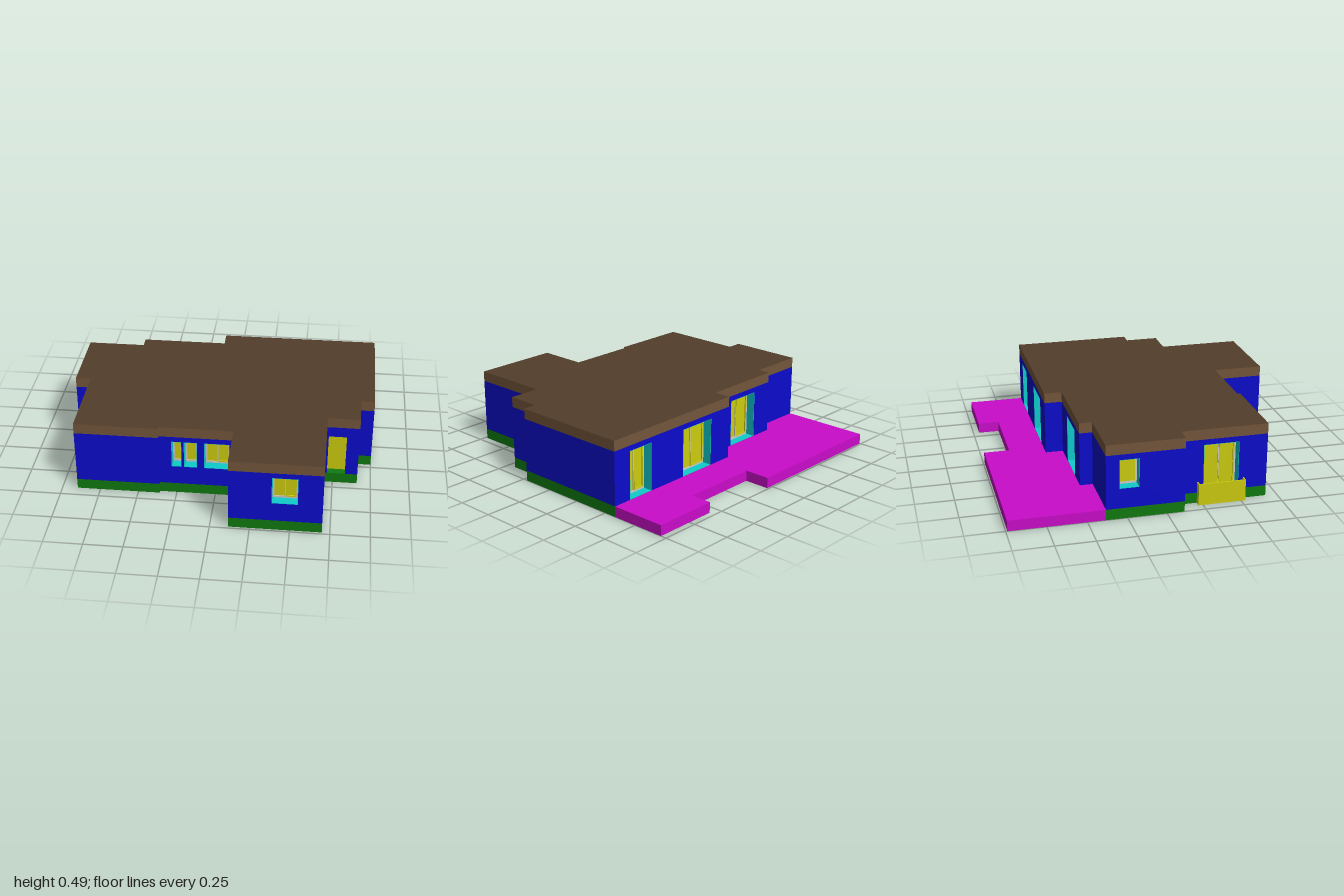
import * as THREE from 'three';

const mat = (color) => new THREE.MeshStandardMaterial({ color });
const wallMat = mat(0x0b0bcc), baseMat = mat(0x107a10), terraceMat = mat(0xc90cc9);
const roofTopMat = mat(0x523e2b), roofSideMat = mat(0x73563b);
const paneMat = mat(0xcccc10), revealMat = mat(0x10cccc), frameMat = mat(0xcccccc);

const BASE = 0.07, EAVES = 0.425, TOP = 0.493, THICK = 0.08;

// House footprint [x, z], counterclockwise seen from above
const outline = [
  [-0.9, 0.675], [-0.36, 0.675], [-0.36, 0.655], [0.115, 0.655], [0.115, 0.985], [0.7, 0.985],
  [0.7, 0.44], [0.91, 0.44], [0.91, 0.217], [1, 0.217], [1, -0.585], [-0.055, -0.585],
  [-0.055, -0.468], [-0.62, -0.468], [-0.62, -0.385], [-1, -0.385], [-1, 0.112], [-0.9, 0.112],
];
const terraceOutline = [
  [-1, -0.385], [-0.62, -0.385], [-0.62, -0.468], [-0.055, -0.468], [-0.055, -0.585], [1, -0.585],
  [1, -0.96], [0.565, -0.96], [0.565, -0.82], [0.04, -0.82], [0.04, -0.99], [-1, -0.99],
];

// Openings: wall index, world range along the wall, sill, head, number of panes
const openings = [
  { wall: 2, from: -0.28, to: -0.215, sill: 0.2, head: 0.39, panes: 1 },
  { wall: 2, from: -0.2, to: -0.115, sill: 0.2, head: 0.39, panes: 1 },
  { wall: 2, from: -0.07, to: 0.093, sill: 0.2, head: 0.39, panes: 2 },
  { wall: 4, from: 0.383, to: 0.545, sill: 0.2, head: 0.39, panes: 2 },
  { wall: 6, from: 0.712, to: 0.838, sill: BASE, head: 0.355, door: true },
  { wall: 10, from: 0.68, to: 0.87, sill: BASE, head: 0.39, panes: 2 },
  { wall: 10, from: 0.12, to: 0.39, sill: BASE, head: 0.39, panes: 2 },
  { wall: 12, from: -0.47, to: -0.22, sill: BASE, head: 0.39, panes: 2 },
  { wall: 15, from: -0.3, to: -0.175, sill: 0.2, head: 0.39, panes: 1 },
  { wall: 17, from: 0.26, to: 0.49, sill: BASE, head: 0.39, panes: 2 },
];

function add(parent, name, geometry, material) {
  const mesh = new THREE.Mesh(geometry, material);
  mesh.name = name;
  parent.add(mesh);
  return mesh;
}

function box(parent, name, material, x0, x1, y0, y1, z0, z1) {
  const geo = new THREE.BoxGeometry(x1 - x0, y1 - y0, z1 - z0);
  geo.translate((x0 + x1) / 2, (y0 + y1) / 2, (z0 + z1) / 2);
  return add(parent, name, geo, material);
}

// Horizontal slab from a footprint
function slab(parent, name, points, y0, y1, material) {
  const shape = new THREE.Shape(points.map(([x, z]) => new THREE.Vector2(x, -z)));
  const geo = new THREE.ExtrudeGeometry(shape, { depth: y1 - y0, bevelEnabled: false });
  geo.rotateX(-Math.PI / 2).translate(0, y0, 0);
  return add(parent, name, geo, material);
}

const rectPoints = (x0, x1, y0, y1) => [
  new THREE.Vector2(x0, y0), new THREE.Vector2(x1, y0), new THREE.Vector2(x1, y1), new THREE.Vector2(x0, y1),
];

// Rectangular ring, w wide, between two depths
function ring(parent, name, material, x0, x1, y0, y1, w, wBottom, z0, z1) {
  const shape = new THREE.Shape(rectPoints(x0, x1, y0, y1));
  shape.holes.push(new THREE.Path(rectPoints(x0 + w, x1 - w, y0 + wBottom, y1 - w)));
  const geo = new THREE.ExtrudeGeometry(shape, { depth: z1 - z0, bevelEnabled: false });
  return add(parent, name, geo.translate(0, 0, z0), material);
}

// Recessed window in wall space (outward is +z)
function addWindow(parent, u0, u1, o) {
  const g = new THREE.Group();
  g.name = o.sill > BASE ? 'window' : 'terraceDoor';
  parent.add(g);
  const sillT = o.sill > BASE ? 0.003 : 0.001;
  ring(g, 'reveal', o.sill > BASE ? revealMat : [revealMat, revealMat],
    u0, u1, o.sill, o.head, 0.003, sillT, -THICK, -0.001);
  ring(g, 'frame', frameMat, u0 + 0.003, u1 - 0.003, o.sill + sillT, o.head - 0.003, 0.01, 0.012, -THICK, -0.062);
  const a = u0 + 0.012, b = u1 - 0.012, w = (b - a) / o.panes;
  for (let i = 0; i < o.panes; i++) {
    const p0 = a + i * w + (i ? 0.003 : 0), p1 = a + (i + 1) * w - (i < o.panes - 1 ? 0.003 : 0);
    box(g, 'pane', paneMat, p0, p1, o.sill + 0.012, o.head - 0.012, -THICK, -0.068);
    if (i) ring(g, 'sash', paneMat, p0, p1, o.sill + 0.014, o.head - 0.014, 0.008, 0.008, -0.068, -0.06);
  }
  if (o.panes > 1) {
    box(g, 'mullion', frameMat, a + w - 0.003, a + w + 0.003, o.sill + 0.012, o.head - 0.012, -THICK, -0.062);
  }
}

// One wall panel with its openings cut through
function addWall(parent, index) {
  const a = outline[index], b = outline[(index + 1) % outline.length];
  const dx = b[0] - a[0], dz = b[1] - a[1], length = Math.hypot(dx, dz);
  const g = new THREE.Group();
  g.name = 'wallSection';
  g.position.set(a[0], 0, a[1]);
  g.rotation.y = Math.atan2(-dz, dx);
  parent.add(g);

  const shape = new THREE.Shape();
  const holes = [], notches = [];
  const start = Math.abs(dx) > Math.abs(dz) ? a[0] : a[1];
  for (const o of openings.filter((item) => item.wall === index)) {
    const [u0, u1] = [Math.abs(o.from - start), Math.abs(o.to - start)].sort((p, q) => p - q);
    if (o.sill > BASE) holes.push(new THREE.Path(rectPoints(u0, u1, o.sill, o.head)));
    else notches.push({ u0, u1, head: o.head });
    if (o.door) box(g, 'frontDoor', paneMat, u0, u1, o.sill, o.head, -THICK, -0.05);
    else addWindow(g, u0, u1, o);
  }
  // Floor-level openings are notches in the lower edge
  shape.moveTo(0, BASE);
  for (const n of notches.sort((p, q) => p.u0 - q.u0)) {
    shape.lineTo(n.u0, BASE);
    shape.lineTo(n.u0, n.head);
    shape.lineTo(n.u1, n.head);
    shape.lineTo(n.u1, BASE);
  }
  shape.lineTo(length, BASE);
  shape.lineTo(length, EAVES);
  shape.lineTo(0, EAVES);
  shape.holes = holes;
  const geo = new THREE.ExtrudeGeometry(shape, { depth: THICK, bevelEnabled: false });
  add(g, 'wall', geo.translate(0, 0, -THICK), wallMat);
}

export function createModel() {
  const house = new THREE.Group();
  house.name = 'house';

  slab(house, 'foundation', outline, 0, BASE, baseMat);
  slab(house, 'terrace', terraceOutline, 0, BASE, terraceMat);
  slab(house, 'roof', outline, EAVES, TOP, [roofTopMat, roofSideMat]);

  const walls = new THREE.Group();
  walls.name = 'walls';
  house.add(walls);
  outline.forEach((_, i) => addWall(walls, i));

  // Shallow balcony with thin parapets on the right side
  const balcony = new THREE.Group();
  balcony.name = 'balcony';
  house.add(balcony);
  box(balcony, 'balconyFloor', paneMat, -0.94, -0.9, 0, BASE, 0.22, 0.527);
  box(balcony, 'parapet', paneMat, -0.94, -0.932, BASE, 0.142, 0.22, 0.527);
  for (const z of [0.22, 0.519]) box(balcony, 'parapetEnd', paneMat, -0.932, -0.9, BASE, 0.142, z, z + 0.008);

  return house;
}
